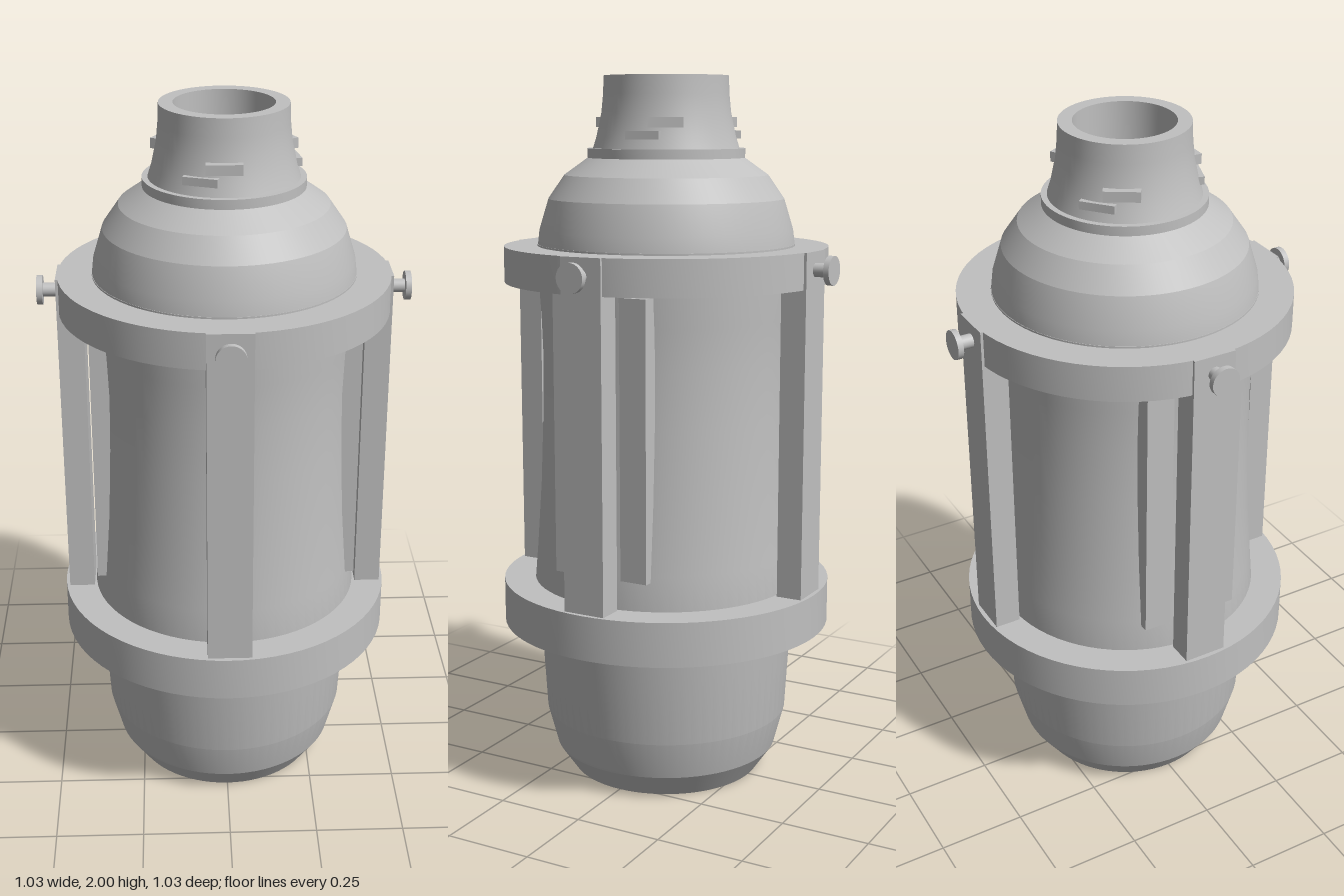
import * as THREE from 'three';
import { toCreasedNormals } from 'three/addons/utils/BufferGeometryUtils.js';

const metal = new THREE.MeshStandardMaterial({ color: 0xc0c0c0 });
metal.name = 'grey metal';

function add(parent, name, geometry, x = 0, y = 0, z = 0) {
  const mesh = new THREE.Mesh(geometry, metal);
  mesh.name = name;
  mesh.position.set(x, y, z);
  parent.add(mesh);
  return mesh;
}

// Turned part from [radius, height] pairs, round sides smooth and rims sharp
function turned(profile) {
  const points = profile.map(([r, y]) => new THREE.Vector2(r, y));
  return toCreasedNormals(new THREE.LatheGeometry(points, 72), 0.2);
}

const ring = (outer, inner, y0, y1) =>
  turned([[inner, y0], [outer, y0], [outer, y1], [inner, y1], [inner, y0]]);

export function createModel() {
  const model = new THREE.Group();
  model.name = 'canister';

  // Waisted body with a rounded base
  add(model, 'body', turned([
    [0, 0], [0.275, 0], [0.323, 0.07], [0.352, 0.18], [0.368, 0.45], [0.382, 0.575],
    [0.374, 0.67], [0.361, 0.86], [0.353, 1.06], [0.35, 1.22], [0.354, 1.34],
    [0.36, 1.435], [0.362, 1.54], [0, 1.54],
  ]));

  // Domed shoulder, collar and hollow neck
  add(model, 'shoulder', turned([
    [0.362, 1.53], [0.356, 1.58], [0.33, 1.665], [0.285, 1.73], [0.215, 1.78],
  ]));
  add(model, 'collar', turned([
    [0.2, 1.777], [0.22, 1.777], [0.22, 1.803], [0.17, 1.803],
  ]));
  add(model, 'neck', turned([
    [0.205, 1.8], [0.194, 1.835], [0.18, 1.9], [0.175, 1.95], [0.173, 2],
    [0.135, 2], [0.135, 1.8], [0, 1.8],
  ]));

  // Cage rings
  add(model, 'lowerRing', ring(0.472, 0.35, 0.45, 0.575));
  add(model, 'upperRing', ring(0.456, 0.34, 1.435, 1.535));

  // Four cage bars, each with a headed pin
  for (let i = 0; i < 4; i++) {
    const side = new THREE.Group();
    side.name = 'cageSide';
    side.rotation.y = i * Math.PI / 2;
    add(side, 'bar', new THREE.BoxGeometry(0.122, 0.97, 0.073), 0, 1.05, 0.4225);
    add(side, 'pinShaft', new THREE.CylinderGeometry(0.019, 0.019, 0.06, 24), 0, 1.485, 0.475)
      .rotation.x = Math.PI / 2;
    add(side, 'pinHead', new THREE.CylinderGeometry(0.04, 0.04, 0.016, 32), 0, 1.485, 0.505)
      .rotation.x = Math.PI / 2;
    model.add(side);
  }

  // Upright plates flanking the bars on the left and right sides
  for (const sx of [-1, 1]) {
    for (const sz of [-1, 1]) {
      add(model, 'sidePlate', new THREE.BoxGeometry(0.06, 0.77, 0.08),
        sx * 0.341, 1.04, sz * 0.103);
    }
  }

  // Three pairs of stepped locking lugs round the neck
  for (let i = 0; i < 3; i++) {
    for (const [angle, y, height] of [[-0.03, 1.874, 0.028], [-0.35, 1.84, 0.022]]) {
      const pivot = new THREE.Group();
      pivot.name = 'lockingLug';
      pivot.rotation.y = angle + i * Math.PI * 2 / 3;
      add(pivot, 'lug', new THREE.BoxGeometry(0.096, height, 0.035), 0, y, 0.184);
      model.add(pivot);
    }
  }

  return model;
}
